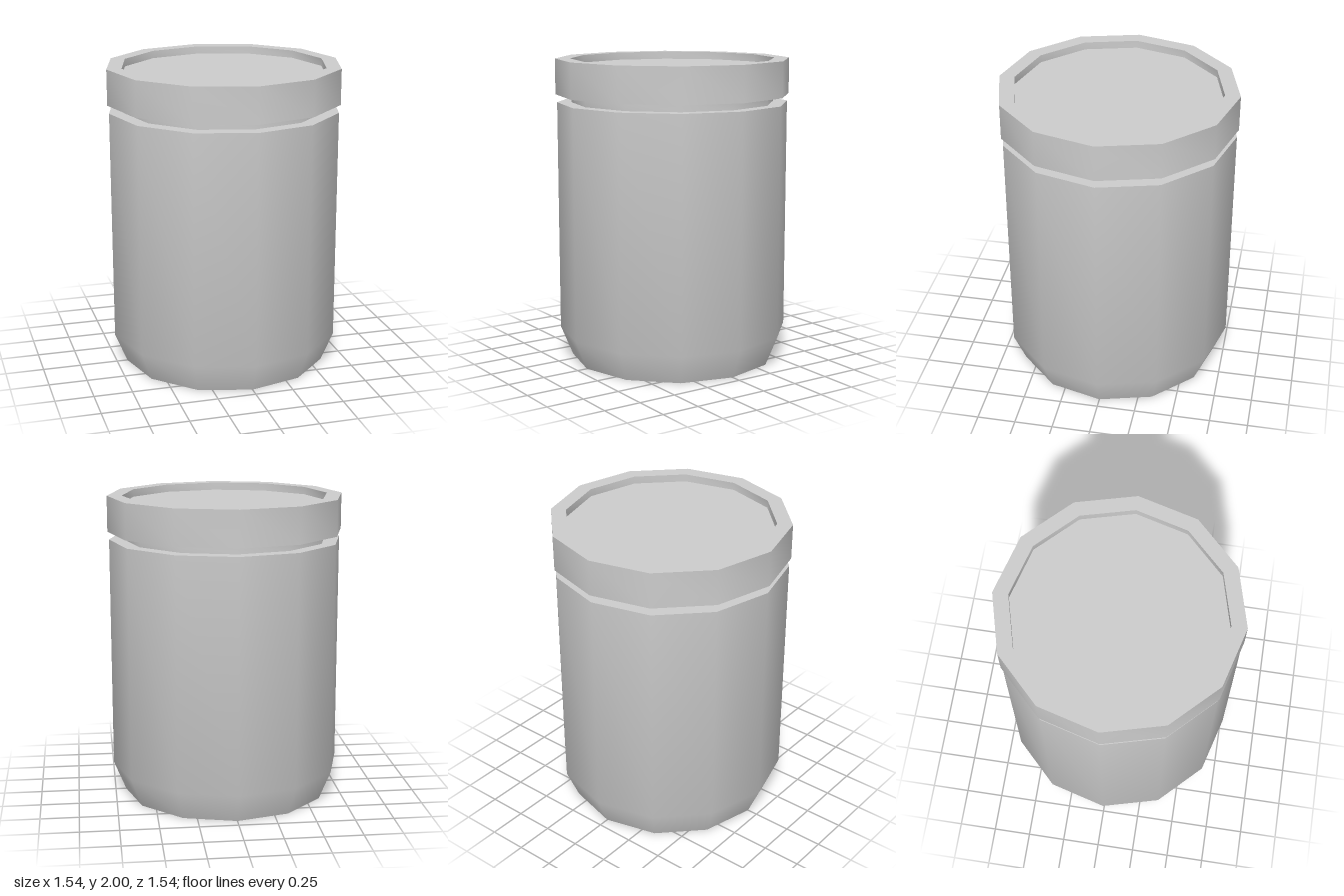
import * as THREE from 'three';
import { toCreasedNormals } from 'three/addons/utils/BufferGeometryUtils.js';

const SIDES = 12;
const material = new THREE.MeshStandardMaterial({ color: 0xcccccc });

// Twelve-sided turned part; the sides shade smoothly, the rims stay sharp
function turned(name, profile) {
  const points = profile.map(([r, y]) => new THREE.Vector2(r, y));
  const geometry = toCreasedNormals(new THREE.LatheGeometry(points, SIDES), THREE.MathUtils.degToRad(40));
  const mesh = new THREE.Mesh(geometry, material);
  mesh.name = name;
  return mesh;
}

export function createModel() {
  const group = new THREE.Group();
  group.name = 'jar';

  // Body with flat base, tapered foot and shoulder
  group.add(turned('body', [[0, 0], [0.68, 0], [0.76, 0.195], [0.76, 1.715], [0.667, 1.715]]));

  // Narrow neck between body and lid
  group.add(turned('neck', [[0.667, 1.715], [0.667, 1.767]]));

  // Lid with a raised rim and a shallow recessed top
  group.add(turned('lid', [[0.667, 1.767], [0.77, 1.767], [0.77, 2], [0.672, 2], [0.672, 1.95], [0, 1.95]]));

  return group;
}
